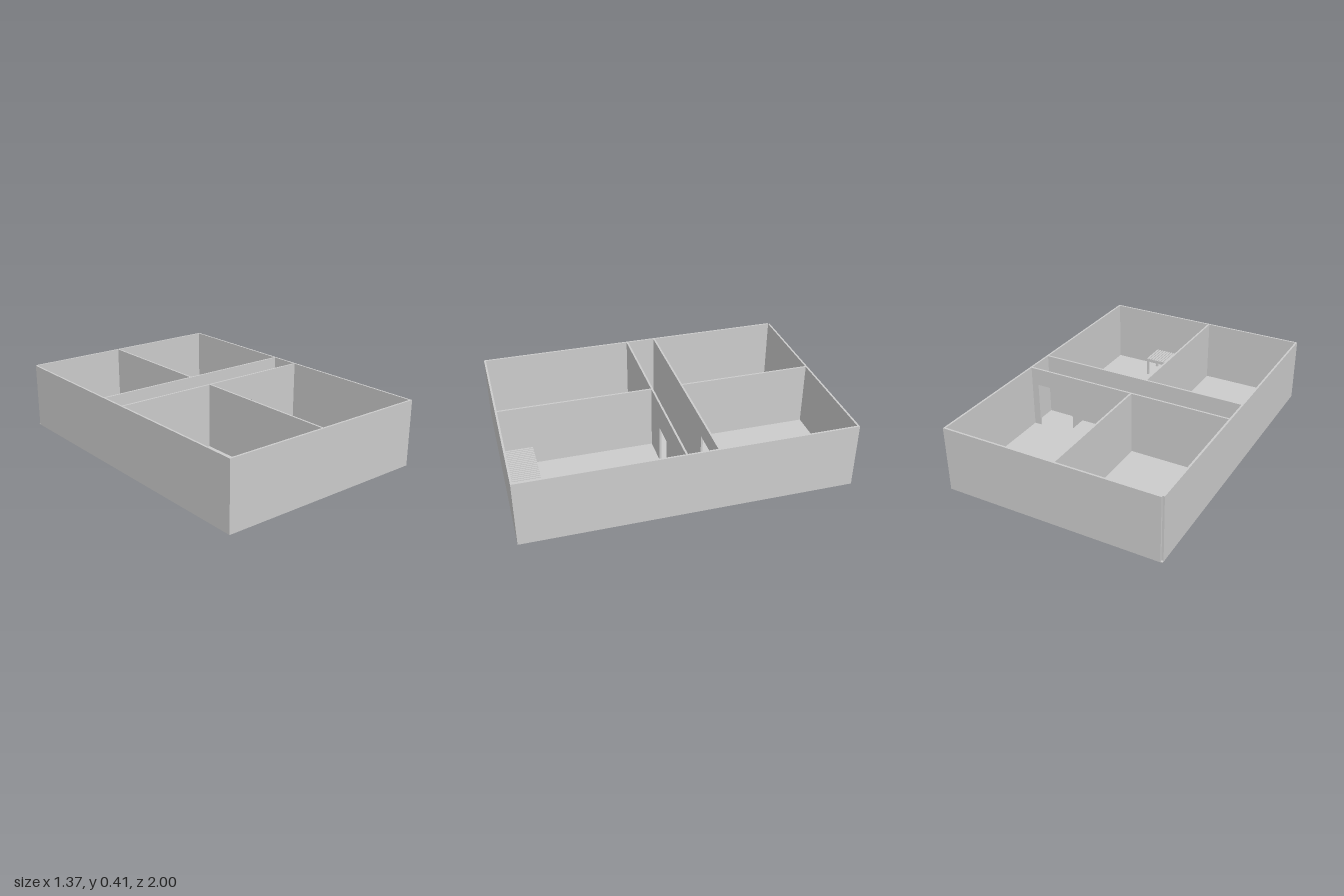
import * as THREE from 'three';

export function createModel() {
  const model = new THREE.Group();
  const grey = new THREE.MeshStandardMaterial({ color: 0xcccccc, flatShading: true });

  // Box given by its limits on each axis
  function box(name, [x0, x1], [y0, y1], [z0, z1], parent = model) {
    const mesh = new THREE.Mesh(new THREE.BoxGeometry(x1 - x0, y1 - y0, z1 - z0), grey);
    mesh.position.set((x0 + x1) / 2, (y0 + y1) / 2, (z0 + z1) / 2);
    mesh.name = name;
    parent.add(mesh);
    return mesh;
  }

  const W = 0.687, L = 1, H = 0.412, T = 0.012, F = 0.006;

  // Floor and outer walls, with a small notch at one back corner
  box('floor', [-W, W], [0, F], [-L, L]);
  box('frontWall', [-W, W], [F, H], [L - T, L]);
  box('backWall', [-W + T, W], [F, H], [-L, -L + T]);
  box('leftWall', [W - T, W], [F, H], [-L + T, L - T]);
  box('rightWall', [-W, -W + T], [F, H], [-L + T, L - T]);

  // Corridor walls, each with one doorway reaching the floor
  function corridorWall(name, z, [d0, d1], doorTop) {
    const s = new THREE.Shape();
    const e = W - T;
    [[-e, F], [d0, F], [d0, doorTop], [d1, doorTop], [d1, F], [e, F], [e, H], [-e, H]]
      .forEach(([x, y], i) => (i ? s.lineTo(x, y) : s.moveTo(x, y)));
    const mesh = new THREE.Mesh(
      new THREE.ExtrudeGeometry(s, { depth: T, bevelEnabled: false }), grey);
    mesh.position.z = z - T / 2;
    mesh.name = name;
    model.add(mesh);
  }
  corridorWall('frontCorridorWall', 0.037, [0.15, 0.3], 0.245);
  corridorWall('backCorridorWall', -0.151, [0.38, 0.63], 0.3);

  // Dividers between the paired rooms
  box('frontDivider', [-0.047, -0.035], [F, H], [0.043, L - T]);
  box('backDivider', [-0.047, -0.035], [F, H], [-L + T, -0.157]);

  // Long counter standing against the corridor wall
  box('counter', [0.15, 0.307], [F, 0.128], [-0.685, -0.157]);

  // Slatted bench by the front wall
  const bench = new THREE.Group();
  bench.name = 'slattedBench';
  model.add(bench);
  const x0 = -0.02, x1 = 0.355, z0 = 0.8, z1 = 0.97, top = 0.135, count = 20;
  const pitch = (x1 - x0) / count;
  for (let i = 0; i < count; i++) {
    const x = x0 + i * pitch;
    box('slat', [x, x + pitch * 0.7], [top - 0.01, top], [z0, z1], bench);
  }
  for (const z of [z0 + 0.015, (z0 + z1) / 2, z1 - 0.015])
    box('rail', [x0, x1], [top - 0.022, top - 0.01], [z - 0.005, z + 0.005], bench);
  for (const x of [x0 + 0.01, x1 - 0.01])
    for (const z of [z0 + 0.015, z1 - 0.015])
      box('leg', [x - 0.007, x + 0.007], [F, top - 0.01], [z - 0.007, z + 0.007], bench);

  return model;
}
